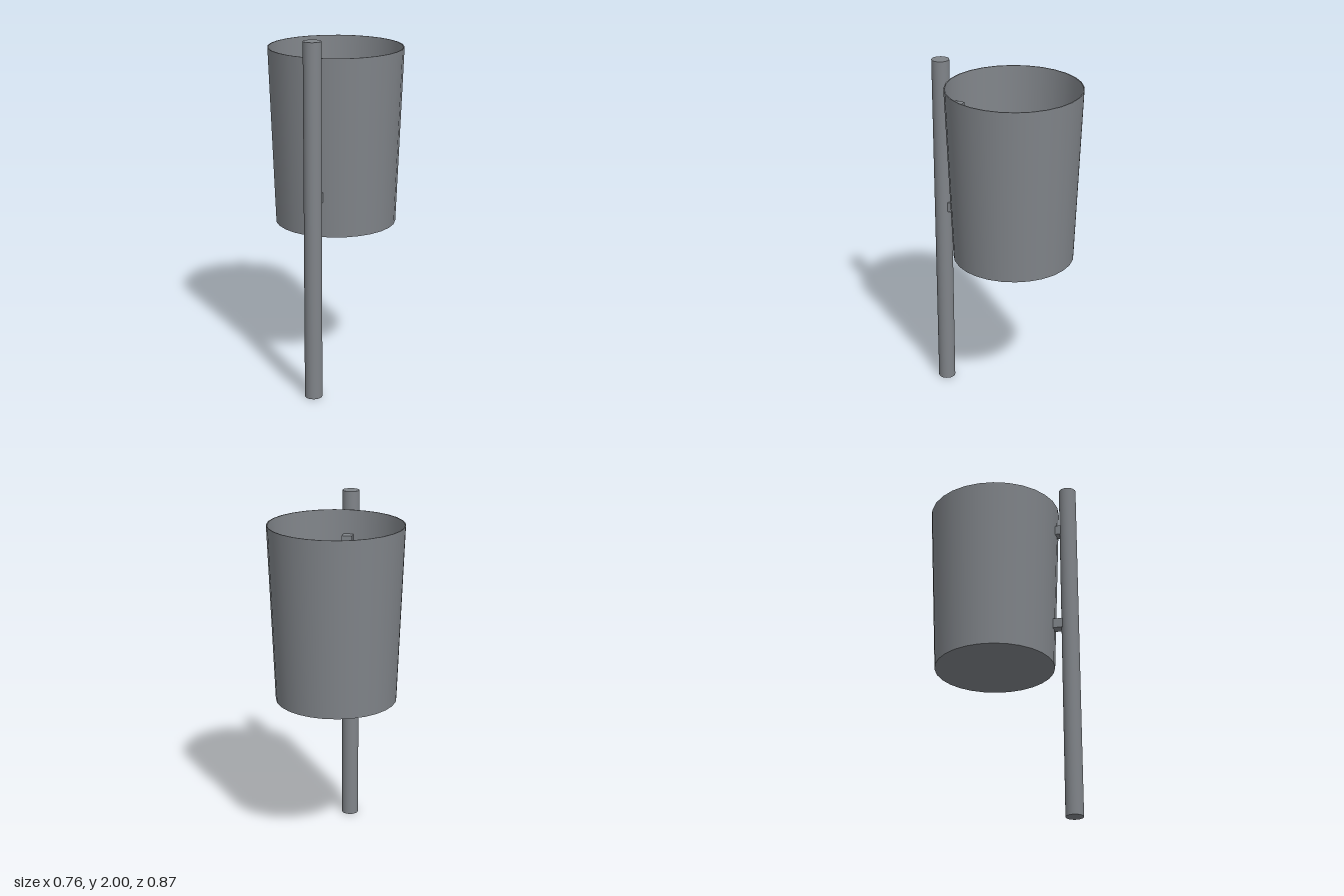
import * as THREE from 'three';

export function createModel() {
  const model = new THREE.Group();
  model.name = 'postMountedBin';
  const steel = new THREE.MeshStandardMaterial({ color: 0x808489 });
  steel.name = 'grey steel';

  const add = (name, geometry, x, y, z, parent = model) => {
    const mesh = new THREE.Mesh(geometry, steel);
    mesh.name = name;
    mesh.position.set(x, y, z);
    parent.add(mesh);
    return mesh;
  };

  // Support post
  add('post', new THREE.CylinderGeometry(0.049, 0.049, 2, 32), 0, 1, 0.383);

  // Tapered bin: thin wall, flat rim and closed floor
  const bin = new THREE.Group();
  bin.name = 'bin';
  bin.position.set(0, 0, -0.056);
  model.add(bin);
  const sides = 28, bottom = 0.905, top = 1.9, floorTop = 0.915, wall = 0.006;
  const ring = (...points) =>
    new THREE.LatheGeometry(points.map(([r, y]) => new THREE.Vector2(r, y)), sides);
  add('outerWall', ring([0.34, bottom], [0.378, top]), 0, 0, 0, bin);
  add('rim', ring([0.378, top], [0.378 - wall, top]), 0, 0, 0, bin);
  add('innerWall', ring([0.378 - wall, top], [0.34 - wall, floorTop]), 0, 0, 0, bin);
  add('floor', ring([0.34 - wall, floorTop], [0, floorTop]), 0, 0, 0, bin);
  add('underside', ring([0, bottom], [0.34, bottom]), 0, 0, 0, bin);

  // Brackets passing through the wall to the post
  for (const [name, y] of [['upperBracket', 1.735], ['lowerBracket', 1.135]]) {
    add(name, new THREE.BoxGeometry(0.058, 0.056, 0.1), 0, y, 0.304);
  }

  return model;
}
